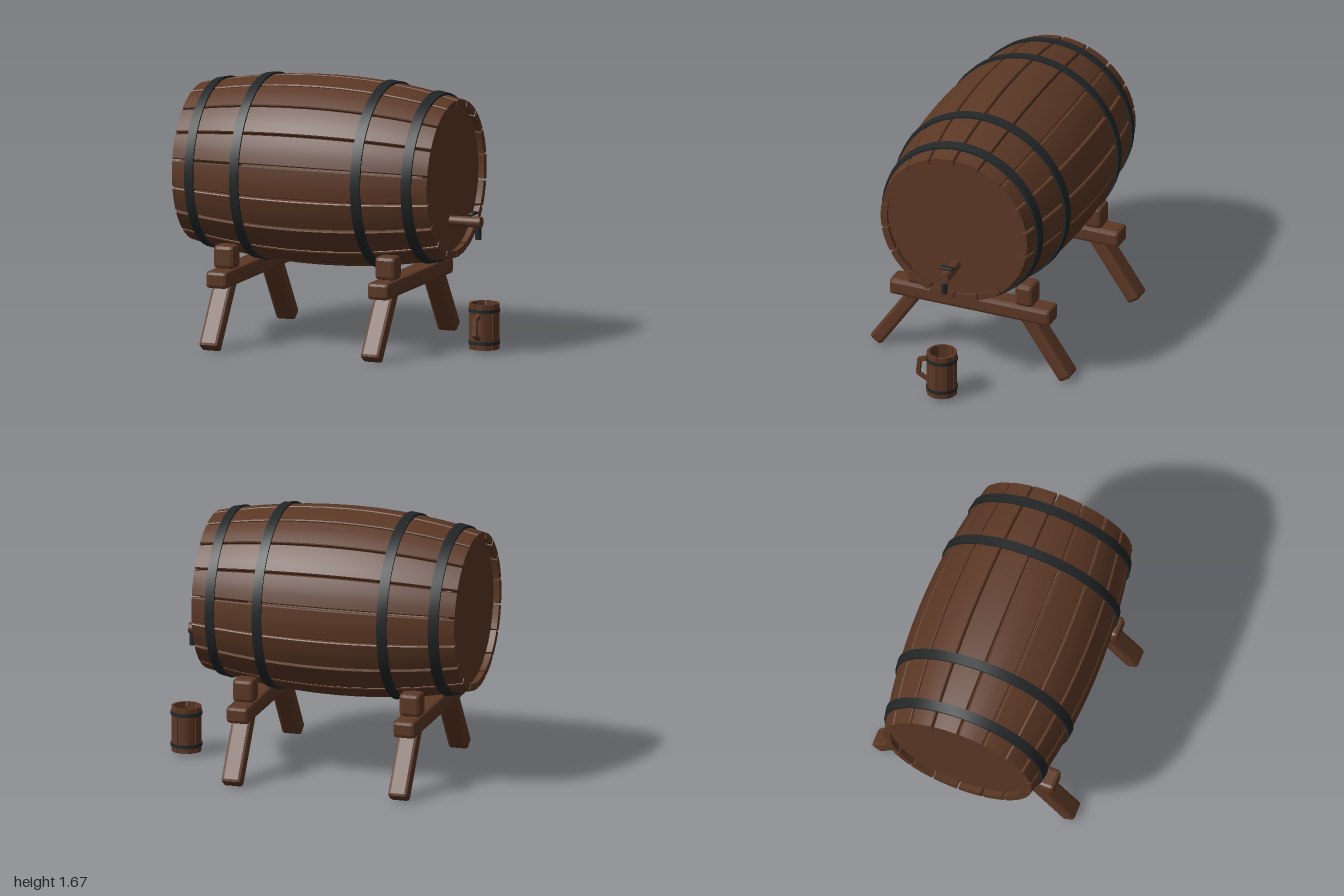
import * as THREE from 'three';
import { toCreasedNormals } from 'three/addons/utils/BufferGeometryUtils.js';
import { RoundedBoxGeometry } from 'three/addons/geometries/RoundedBoxGeometry.js';

const wood = new THREE.MeshStandardMaterial({ color: 0x5c3825 });
wood.name = 'brown wood';
const iron = new THREE.MeshStandardMaterial({ color: 0x232627 });
iron.name = 'dark iron';

function add(parent, name, geometry, material, x = 0, y = 0, z = 0) {
  const mesh = new THREE.Mesh(geometry, material);
  mesh.name = name;
  mesh.position.set(x, y, z);
  parent.add(mesh);
  return mesh;
}

// Box with flat chamfered edges
function chamferBox(w, h, d, r) {
  const g = new RoundedBoxGeometry(w, h, d, 1, r);
  g.computeVertexNormals();
  return g;
}

// One stave of a ring of `count`, swept along y from y0 to y1; radiusAt(y) is the outer radius
function staveGeometry(count, y0, y1, radiusAt, thickness, gap, bevel, steps) {
  const half = Math.PI / count;
  const pos = [], index = [];
  const n = 9;
  for (let i = 0; i <= steps; i++) {
    const y = y0 + (y1 - y0) * i / steps;
    const r = radiusAt(y), ri = r - thickness;
    const a = half - gap / 2 / r, b = a - bevel / r, c = half - gap / 2 / ri;
    const section = [
      [r - bevel, -a], [r, -b], [r, -b / 3], [r, b / 3], [r, b], [r - bevel, a],
      [ri, c], [ri, 0], [ri, -c],
    ];
    for (const [q, t] of section) pos.push(q * Math.cos(t), y, q * Math.sin(t));
  }
  for (let i = 0; i < steps; i++) {
    for (let j = 0; j < n; j++) {
      const p = i * n + j, q = i * n + (j + 1) % n;
      index.push(p, p + n, q, q, p + n, q + n);
    }
  }
  // End caps, fanned from the middle of the inner face
  const top = steps * n;
  for (let j = 0; j < n; j++) {
    const k = (j + 1) % n;
    if (j === 7 || k === 7) continue;
    index.push(7, j, k, top + 7, top + k, top + j);
  }
  const g = new THREE.BufferGeometry();
  g.setAttribute('position', new THREE.Float32BufferAttribute(pos, 3));
  g.setIndex(index);
  return toCreasedNormals(g, 0.4);
}

function addStaves(parent, name, count, geometry) {
  for (let i = 0; i < count; i++) {
    add(parent, name, geometry, wood).rotation.y = (i + 0.5) * 2 * Math.PI / count;
  }
}

// Metal band around the y axis, following radiusAt
function hoopGeometry(y, height, radiusAt, proud, depth, segments) {
  const a = y - height / 2, b = y + height / 2;
  const ra = radiusAt(a) + proud, rb = radiusAt(b) + proud;
  const profile = [[ra - depth, a], [ra, a], [rb, b], [rb - depth, b], [ra - depth, a]]
    .map(([r, h]) => new THREE.Vector2(r, h));
  return toCreasedNormals(new THREE.LatheGeometry(profile, segments), 0.5);
}

function buildBarrel() {
  const barrel = new THREE.Group();
  barrel.name = 'barrel';
  const half = 0.857;
  const radiusAt = y => 0.594 - 0.098 * (y / half) ** 2;
  addStaves(barrel, 'barrelStave', 18,
    staveGeometry(18, -half, half, radiusAt, 0.042, 0.012, 0.006, 12));
  for (const y of [-0.73, -0.408, 0.408, 0.73]) {
    add(barrel, 'barrelHoop', hoopGeometry(y, 0.062, radiusAt, 0.013, 0.022, 54), iron);
  }
  for (const s of [-1, 1]) {
    add(barrel, 'barrelHead', new THREE.CylinderGeometry(0.467, 0.467, 0.04, 54), wood, 0, s * 0.795, 0);
  }
  barrel.rotation.z = -Math.PI / 2;
  barrel.position.set(-0.143, 1.09, 0);
  return barrel;
}

function buildTap() {
  const tap = new THREE.Group();
  tap.name = 'tap';
  tap.position.set(0, 0.824, 0);
  const spout = new THREE.CylinderGeometry(0.036, 0.03, 0.23, 12);
  add(tap, 'tapSpout', spout, wood, 0.765).rotation.z = -Math.PI / 2;
  add(tap, 'tapNozzle', new THREE.CylinderGeometry(0.02, 0.02, 0.085, 10), iron, 0.86, -0.066, 0);
  add(tap, 'tapHandle', chamferBox(0.036, 0.017, 0.088, 0.006), iron, 0.826, 0.053, 0);
  return tap;
}

function buildTrestle(x) {
  const trestle = new THREE.Group();
  trestle.name = 'trestle';
  trestle.position.x = x;
  add(trestle, 'crossBeam', chamferBox(0.145, 0.108, 1.09, 0.022), wood, 0, 0.442, 0);
  for (const s of [-1, 1]) {
    add(trestle, 'cradleBlock', chamferBox(0.14, 0.15, 0.122, 0.025), wood, 0, 0.567, s * 0.365);
    const leg = add(trestle, 'leg', chamferBox(0.13, 0.488, 0.09, 0.02), wood, 0, 0.228, s * 0.508);
    leg.rotation.x = -s * 0.6;
  }
  return trestle;
}

function buildMug() {
  const mug = new THREE.Group();
  mug.name = 'mug';
  mug.position.set(0.9, 0, 0);
  const radiusAt = () => 0.095;
  addStaves(mug, 'mugStave', 10, staveGeometry(10, 0.03, 0.318, radiusAt, 0.016, 0.003, 0.003, 1));
  add(mug, 'mugFloor', new THREE.CylinderGeometry(0.081, 0.081, 0.02, 20), wood, 0, 0.048, 0);
  for (const y of [0.073, 0.275]) {
    add(mug, 'mugHoop', hoopGeometry(y, 0.022, radiusAt, 0.004, 0.01, 30), iron);
  }
  // Angular handle on the front side
  const outline = [[0.085, 0.24], [0.14, 0.222], [0.148, 0.138], [0.085, 0.108],
    [0.085, 0.086], [0.158, 0.122], [0.172, 0.134], [0.161, 0.243], [0.085, 0.268]];
  const shape = new THREE.Shape(outline.map(([z, y]) => new THREE.Vector2(z, y)));
  const handle = new THREE.ExtrudeGeometry(shape, { depth: 0.026, bevelEnabled: false });
  handle.translate(0, 0, -0.013);
  handle.rotateY(-Math.PI / 2);
  add(mug, 'mugHandle', handle, wood);
  return mug;
}

export function createModel() {
  const model = new THREE.Group();
  model.name = 'barrelOnStand';
  model.add(buildBarrel(), buildTap(), buildTrestle(-0.684), buildTrestle(0.402), buildMug());
  return model;
}
